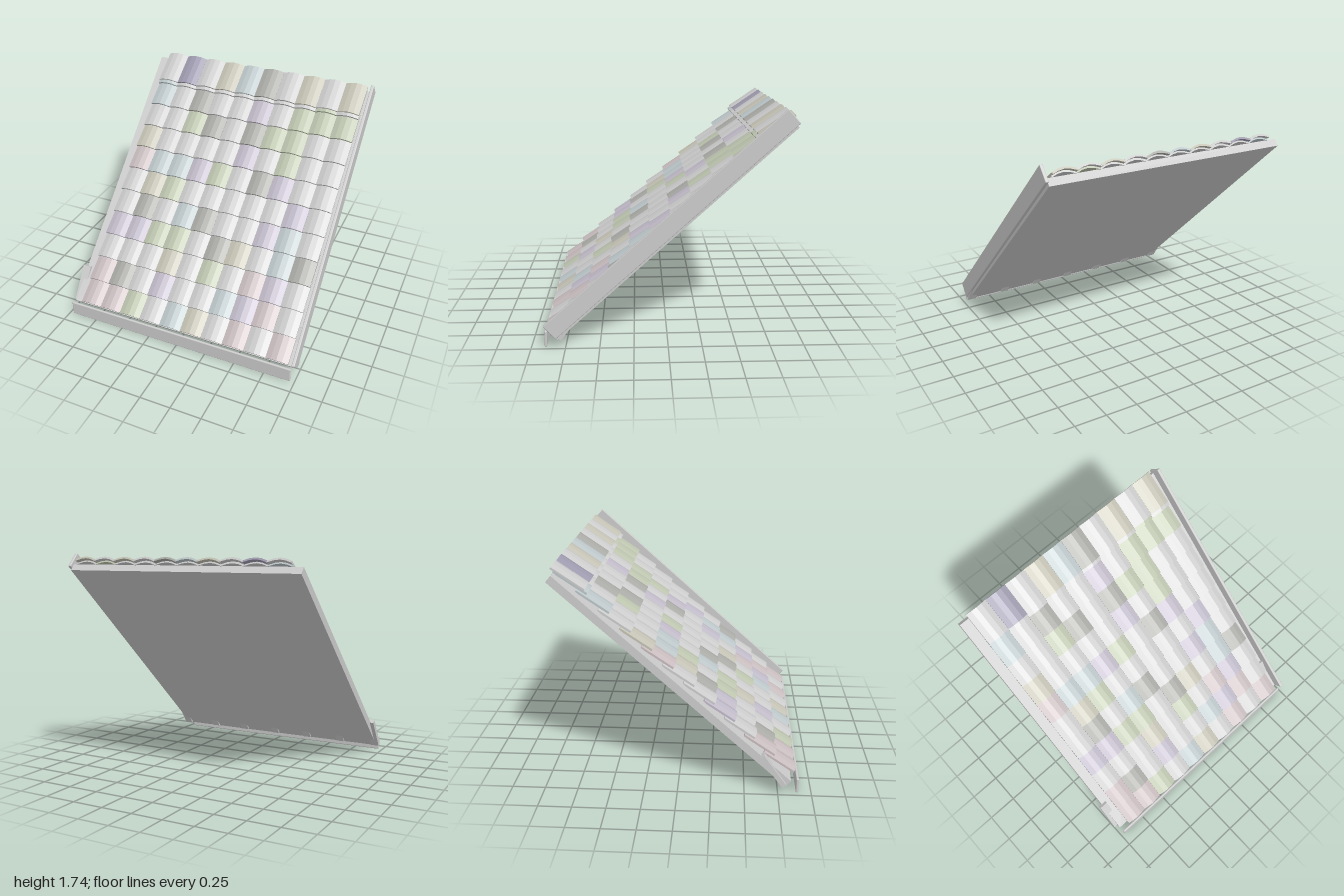
import * as THREE from 'three';
import { RoundedBoxGeometry } from 'three/addons/geometries/RoundedBoxGeometry.js';

const PITCH = 0.737;          // roof slope angle
const COLS = 10, PITCH_X = 0.1825, LEFT = -0.89;
const COURSE = 0.2036;        // exposed length of a tile
const TILE_LENGTH = 0.28, TILE_TILT = 0.139;

const tints = {
  g: 0xcccccc, d: 0xaaaaa6, t: 0xc4c2b4, n: 0xbcc4ae,
  b: 0xbcc6c8, p: 0xc0bac8, P: 0x9e9aae, r: 0xc8bcbe,
};
// tile colours, one string per course from the eave to the ridge
const courses = [
  'rrngbtgrgr', 'rdgpggbprg', 'gggtgngrpg', 'ppnngdtgbd', 'gdgbdggpbg', 'gtngggggpg',
  'rbbpngdpgg', 'tggggpgngg', 'ggndgdnngg', 'bgdggpgnnn', 'bgggggggng', 'gPgtbdgtgt',
];

// arched tile: curved cross-section of even thickness, extruded along the slope
function tileGeometry() {
  const w = PITCH_X - 0.001, thick = 0.016, rise = 0.024, segs = 4;
  const top = [], under = [];
  for (let i = 0; i <= segs; i++) {
    const t = i / segs, y = rise * Math.sin(Math.PI * t);
    top.push(new THREE.Vector2(t * w, y + thick));
    under.push(new THREE.Vector2(t * w, y));
  }
  const shape = new THREE.Shape([...under, ...top.reverse()]);
  return new THREE.ExtrudeGeometry(shape, { depth: TILE_LENGTH, bevelEnabled: false });
}

export function createModel() {
  const model = new THREE.Group();
  model.name = 'roofSection';
  const grey = new THREE.MeshStandardMaterial({ color: 0xcccccc });

  const add = (parent, name, geometry, x, y, z, material = grey) => {
    const mesh = new THREE.Mesh(geometry, material);
    mesh.name = name;
    mesh.position.set(x, y, z);
    parent.add(mesh);
    return mesh;
  };

  // sloped frame: -z runs up the slope, y is away from the roof surface
  const slope = new THREE.Group();
  slope.name = 'slope';
  slope.position.set(0, 0.07, 0.82);
  slope.rotation.x = PITCH;
  model.add(slope);

  // deck board under the tiles
  add(slope, 'deck', new THREE.BoxGeometry(1.94, 0.06, 2.31), 0, 0.01, -1.155);

  // barge board along the model's left edge
  add(slope, 'bargeBoard', new RoundedBoxGeometry(0.025, 0.134, 2.336, 2, 0.006), 0.983, 0.067, -1.168);

  // overlapping courses of tiles
  const tiles = new THREE.Group();
  tiles.name = 'tiles';
  slope.add(tiles);
  const geometry = tileGeometry();
  const materials = {};
  for (const key in tints) materials[key] = new THREE.MeshStandardMaterial({ color: tints[key] });
  courses.forEach((row, r) => {
    const ridge = r === courses.length - 1;
    const start = ridge ? 2.067 : r * COURSE;      // the ridge course overlaps the one below it
    for (let c = 0; c < COLS; c++) {
      const lift = ((r * 3 + c * 5) % 4) * 0.0008;  // slight unevenness between neighbours
      const tile = add(tiles, 'tile', geometry, LEFT + c * PITCH_X,
        (ridge ? 0.043 : 0.034) + lift, -start - TILE_LENGTH, materials[row[c]]);
      tile.rotation.x = -TILE_TILT;
    }
  });

  // rafter feet at a steeper angle, cutting through the deck at the eave
  const foot = new THREE.BoxGeometry(0.07, 0.037, 0.294);
  for (let i = 0; i < 7; i++) {
    const x = -0.965 + i * 0.3215;
    add(model, 'rafterFoot', foot, Math.min(x, 0.955), 0.19, 0.71).rotation.x = 0.955;
  }

  // upright fascia board in front of the eave
  add(model, 'fascia', new RoundedBoxGeometry(1.935, 0.12, 0.02, 2, 0.008), -0.002, 0.06, 0.895);

  return model;
}
